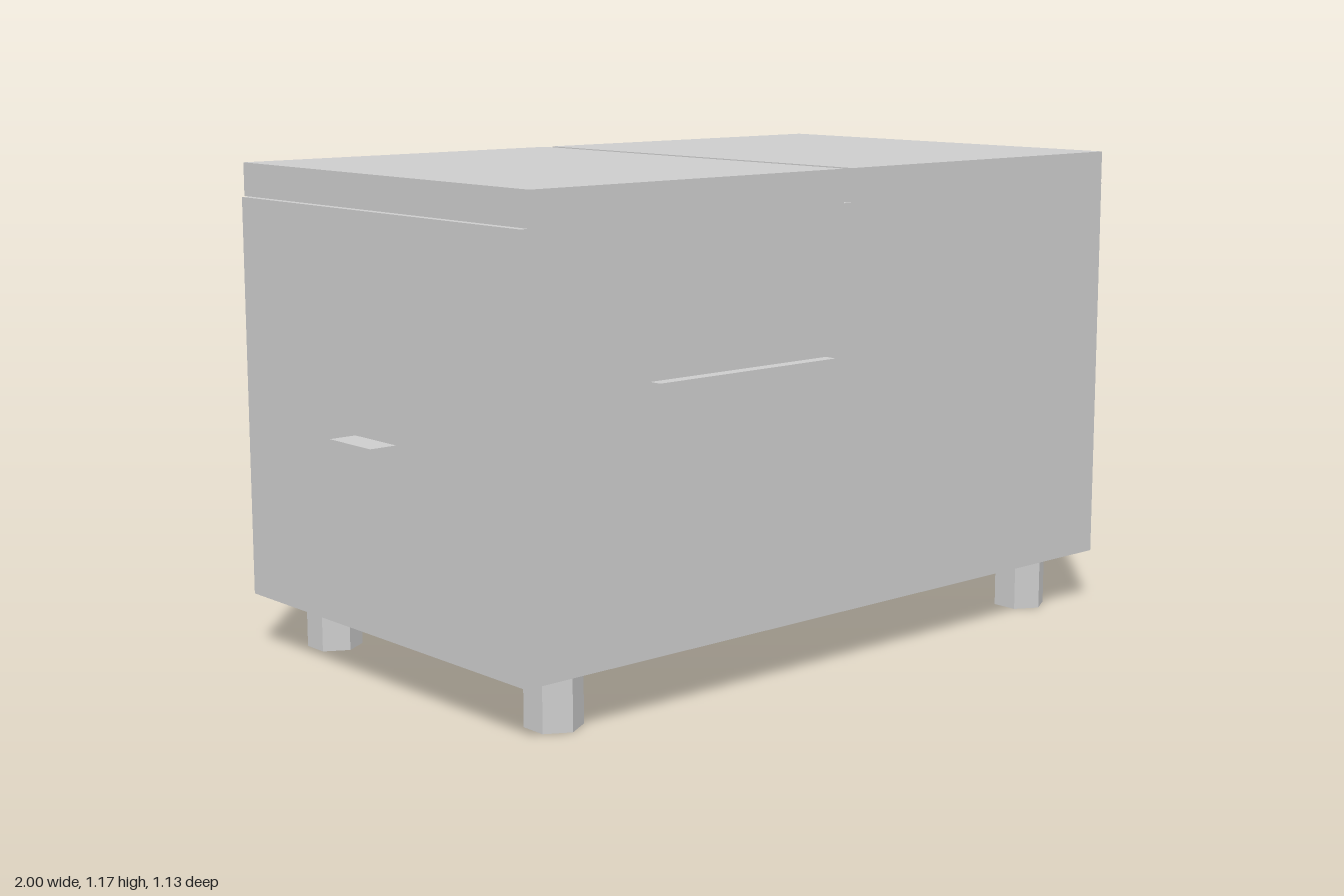
import * as THREE from 'three';

export function createModel() {
  const model = new THREE.Group();
  model.name = 'chest';
  const grey = new THREE.MeshStandardMaterial({ name: 'plain grey', color: 0xcccccc });

  // Box spanning the given ranges on each axis
  const box = (name, [x0, x1], [y0, y1], [z0, z1]) => {
    const mesh = new THREE.Mesh(new THREE.BoxGeometry(x1 - x0, y1 - y0, z1 - z0), grey);
    mesh.position.set((x0 + x1) / 2, (y0 + y1) / 2, (z0 + z1) / 2);
    mesh.name = name;
    model.add(mesh);
  };

  box('body', [-0.932, 0.932], [0.135, 1.095], [-0.534, 0.534]);

  // Two lids with a narrow gap between them
  box('rightLid', [-0.918, -0.015], [1.096, 1.175], [-0.546, 0.546]);
  box('leftLid', [0.011, 0.916], [1.096, 1.175], [-0.546, 0.546]);

  // Raised plates on the front and back
  box('frontPlate', [-0.588, -0.057], [0.536, 0.747], [0.53, 0.566]);
  box('backPlate', [0.292, 0.66], [0.47, 0.602], [-0.566, -0.53]);

  // Upright handles at both ends
  box('rightHandle', [-1, -0.93], [0.27, 0.588], [-0.08, 0.08]);
  box('leftHandle', [0.93, 1], [0.27, 0.588], [-0.08, 0.08]);

  // Four hexagonal feet
  const footGeometry = new THREE.CylinderGeometry(0.066, 0.066, 0.135, 6).toNonIndexed();
  footGeometry.computeVertexNormals();
  for (const x of [-0.775, 0.775]) {
    for (const z of [-0.428, 0.428]) {
      const foot = new THREE.Mesh(footGeometry, grey);
      foot.position.set(x, 0.0675, z);
      foot.name = (z > 0 ? 'front' : 'back') + (x > 0 ? 'Left' : 'Right') + 'Foot';
      model.add(foot);
    }
  }

  return model;
}
